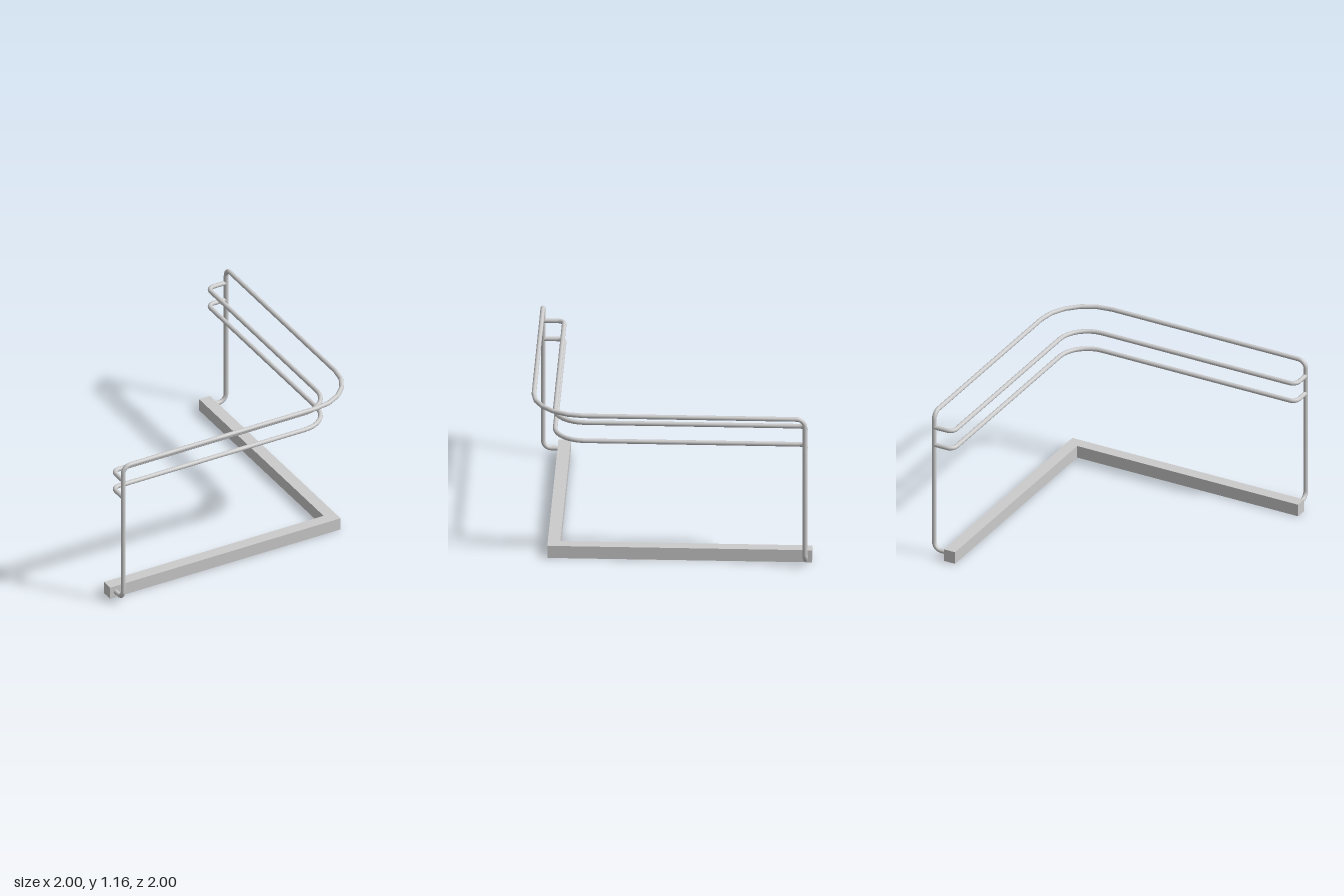
import * as THREE from 'three';

const V = (x, y, z) => new THREE.Vector3(x, y, z);
const material = new THREE.MeshStandardMaterial({ color: 0xcccccc, side: THREE.DoubleSide });

// Curve that visits each point exactly once per tube segment
class BentPath extends THREE.Curve {
  constructor(points) {
    super();
    this.points = points;
  }
  getPointAt(u, target = V(0, 0, 0)) {
    return target.copy(this.points[Math.round(u * (this.points.length - 1))]);
  }
  getPoint(t, target) {
    return this.getPointAt(t, target);
  }
  getTangentAt(u, target = V(0, 0, 0)) {
    const p = this.points, i = Math.round(u * (p.length - 1));
    target.set(0, 0, 0);
    if (i > 0) target.add(p[i].clone().sub(p[i - 1]).normalize());
    if (i < p.length - 1) target.add(p[i + 1].clone().sub(p[i]).normalize());
    return target.normalize();
  }
}

// Round pipe through square corners; each corner is [point, bendRadius, steps]
function bentPipe(name, start, corners, end) {
  const points = [start];
  corners.forEach(([c, r, steps], i) => {
    const prev = i ? corners[i - 1][0] : start;
    const next = i < corners.length - 1 ? corners[i + 1][0] : end;
    const back = prev.clone().sub(c).normalize();
    const ahead = next.clone().sub(c).normalize();
    for (let k = 0; k <= steps; k++) {
      const a = (k / steps) * Math.PI / 2;
      points.push(c.clone()
        .addScaledVector(back, r * (1 - Math.sin(a)))
        .addScaledVector(ahead, r * (1 - Math.cos(a))));
    }
  });
  points.push(end);
  const geometry = new THREE.TubeGeometry(new BentPath(points), points.length - 1, 0.0165, 16);
  const mesh = new THREE.Mesh(geometry, material);
  mesh.name = name;
  return mesh;
}

export function createModel() {
  const group = new THREE.Group();
  group.name = 'cornerRailing';

  // L-shaped base beam
  const outer = 0.873, inner = 0.785, height = 0.093;
  const outline = new THREE.Shape([
    [-1, inner], [inner, inner], [inner, -1], [outer, -1], [outer, outer], [-1, outer],
  ].map(([x, z]) => new THREE.Vector2(x, z)));
  const beamGeometry = new THREE.ExtrudeGeometry(outline, { depth: height, bevelEnabled: false });
  beamGeometry.rotateX(Math.PI / 2).translate(0, height, 0);
  const beam = new THREE.Mesh(beamGeometry, material);
  beam.name = 'baseBeam';
  group.add(beam);

  // Outer frame: feet, posts and top rail in one bent pipe
  const end = -0.955, face = 0.979, top = 1.148, foot = 0.047, bend = 0.06;
  group.add(bentPipe('outerFrame', V(end, foot, 0.84), [
    [V(end, foot, face), bend, 8],
    [V(end, top, face), bend, 8],
    [V(face, top, face), 0.37, 5],
    [V(face, top, end), bend, 8],
    [V(face, foot, end), bend, 8],
  ], V(0.84, foot, end)));

  // Two inner rails returning to the posts
  const railLine = 0.828;
  [['upperRail', 1.03], ['lowerRail', 0.89]].forEach(([name, y]) => {
    group.add(bentPipe(name, V(end, y, face), [
      [V(end, y, railLine), 0.05, 8],
      [V(railLine, y, railLine), 0.22, 8],
      [V(railLine, y, end), 0.05, 8],
    ], V(face, y, end)));
  });

  return group;
}
